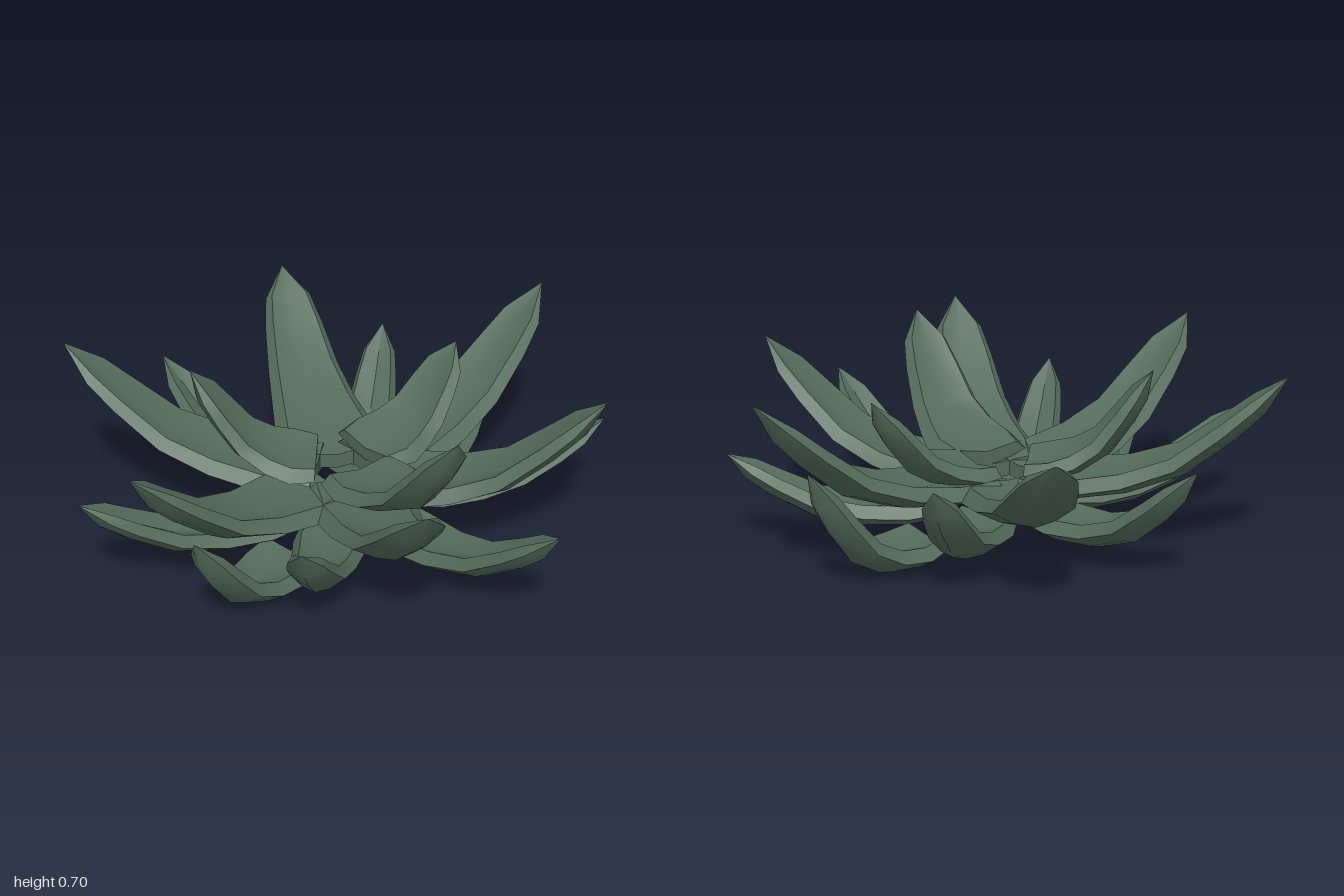
import * as THREE from 'three';
import { toCreasedNormals } from 'three/addons/utils/BufferGeometryUtils.js';

const material = new THREE.MeshStandardMaterial({ color: 0x546b5b });

// Leaf cross-section (side, up): channelled top, bevelled rims, V-shaped keel
const SECTION = [[1, 0.1], [0.76, 0.9], [0, 0.35], [-0.76, 0.9], [-1, 0.1], [-0.5, -0.65], [0, -1], [0.5, -0.65]];

// Stations along a leaf: [distance, rise, width, thickness], all as fractions
const STATIONS = [
  [0, 0, 0.88, 0.8], [0.2, 0.01, 1, 1], [0.4, 0.08, 0.86, 1],
  [0.6, 0.24, 0.73, 0.95], [0.78, 0.54, 0.6, 0.85], [0.89, 0.75, 0.47, 0.7], [1, 1, 0.004, 0.004],
];

// One fleshy leaf with a broad, square base, swept from near the axis out to its tip
function leafGeometry(tip, baseRadius, baseY, dip, width, thickness) {
  const reach = Math.hypot(tip[0], tip[2]);
  const out = new THREE.Vector3(tip[0] / reach, 0, tip[2] / reach);
  const up = new THREE.Vector3(0, 1, 0);
  const side = new THREE.Vector3().crossVectors(out, up);
  const spine = STATIONS.map(([t, f]) => out.clone()
    .multiplyScalar(baseRadius + (reach - baseRadius) * t)
    .setY(baseY + (tip[1] - baseY) * f - dip * Math.sin(Math.PI * t)));

  const positions = [], index = [], n = SECTION.length, last = spine.length - 1;
  spine.forEach((p, i) => {
    const tangent = spine[Math.min(i + 1, last)].clone().sub(spine[Math.max(i - 1, 0)]).normalize();
    const normal = new THREE.Vector3().crossVectors(side, tangent);
    const [, , w, h] = STATIONS[i];
    for (const [s, u] of SECTION) {
      const v = p.clone().addScaledVector(side, s * w * width).addScaledVector(normal, u * h * thickness);
      positions.push(v.x, v.y, v.z);
    }
  });
  for (let i = 0; i < last; i++) {
    for (let j = 0; j < n; j++) {
      const a = i * n + j, b = i * n + (j + 1) % n;
      index.push(a, b + n, b, a, a + n, b + n);
    }
  }
  // Base cap
  const c = positions.length / 3;
  positions.push(spine[0].x, spine[0].y, spine[0].z);
  for (let j = 0; j < n; j++) index.push(c, j, (j + 1) % n);

  const geometry = new THREE.BufferGeometry();
  geometry.setAttribute('position', new THREE.Float32BufferAttribute(positions, 3));
  geometry.setIndex(index);
  return toCreasedNormals(geometry, 0.7);
}

// Rosette tiers from the heart outward, each leaf given by its tip
const TIERS = [
  { name: 'innerLeaf', baseRadius: 0.1, baseY: 0.29, dip: 0, width: 0.18, thickness: 0.05,
    tips: [[0.21, 0.71, 0.66], [-0.52, 0.65, -0.15], [0.48, 0.6, -0.22]] },
  { name: 'middleLeaf', baseRadius: 0.1, baseY: 0.24, dip: 0, width: 0.19, thickness: 0.053,
    tips: [[0, 0.6, -1], [0.89, 0.68, -0.45], [0.8, 0.68, 0.47], [0.01, 0.68, 1], [-0.84, 0.68, 0.56], [-0.93, 0.68, -0.41]] },
  { name: 'lowerLeaf', baseRadius: 0.18, baseY: 0.145, dip: 0.035, width: 0.132, thickness: 0.053,
    tips: [[0.97, 0.36, 0.06], [0.5, 0.44, 0.87], [-0.34, 0.46, 0.79], [-0.98, 0.4, 0.23], [-0.54, 0.44, -0.67], [0.34, 0.44, -0.72]] },
  { name: 'bottomLeaf', baseRadius: 0.35, baseY: 0.09, dip: 0.045, width: 0.14, thickness: 0.053,
    tips: [[-0.65, 0.43, 0.6], [0.72, 0.45, -0.49]] },
];

export function createModel() {
  const model = new THREE.Group();
  model.name = 'succulentRosette';
  for (const tier of TIERS) {
    const group = new THREE.Group();
    group.name = tier.name + 'Tier';
    tier.tips.forEach((tip, i) => {
      const leaf = new THREE.Mesh(
        leafGeometry(tip, tier.baseRadius, tier.baseY, tier.dip, tier.width, tier.thickness), material);
      leaf.name = tier.name + (i + 1);
      group.add(leaf);
    });
    model.add(group);
  }
  // Rest the lowest keel on the ground
  model.position.y = -new THREE.Box3().setFromObject(model, true).min.y;
  return model;
}
